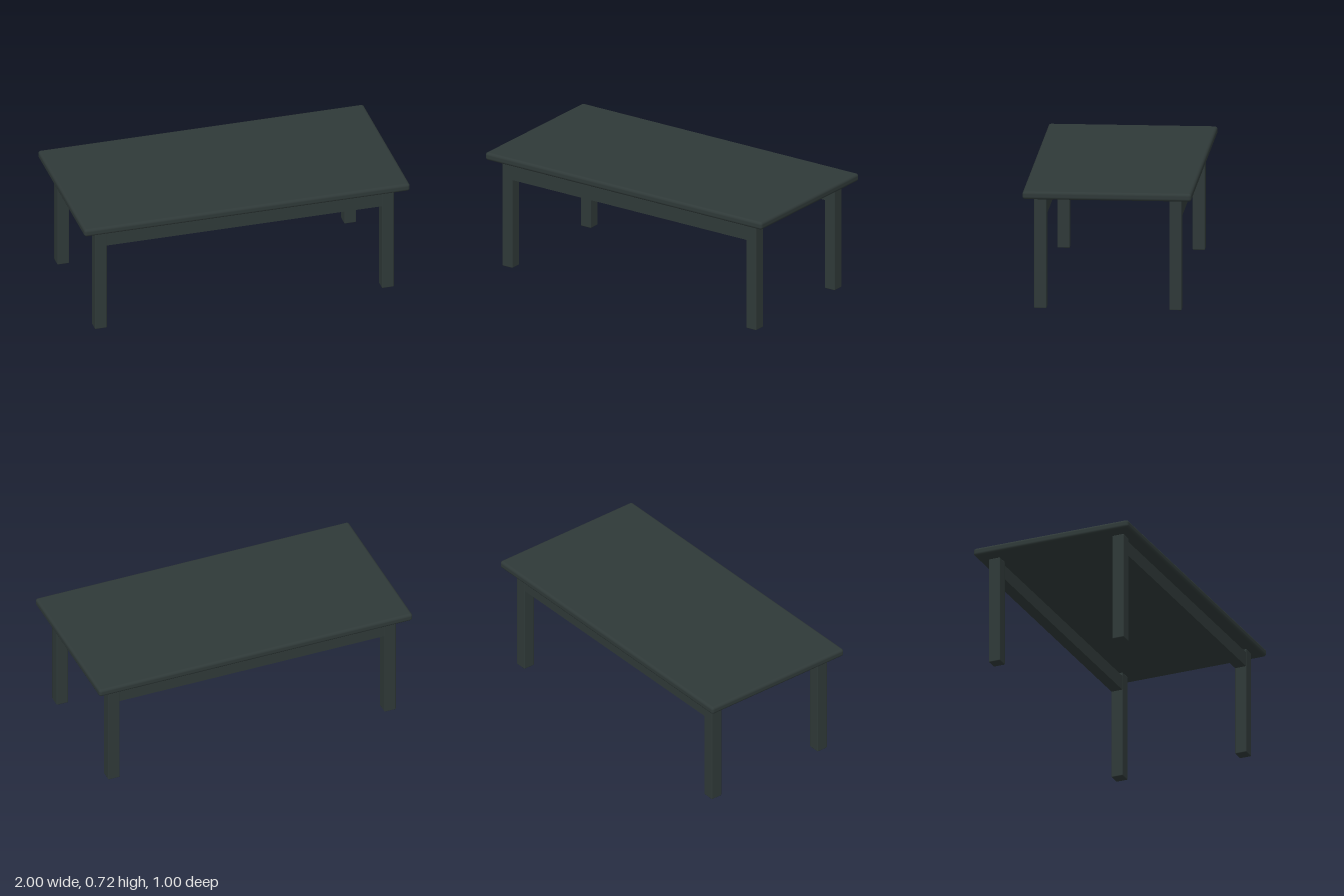
import * as THREE from 'three';
import { RoundedBoxGeometry } from 'three/addons/geometries/RoundedBoxGeometry.js';

export function createModel() {
  const table = new THREE.Group();
  table.name = 'table';
  const paint = new THREE.MeshStandardMaterial({ color: 0x2f3938 });
  paint.name = 'dark slate';

  const add = (name, geometry, x, y, z) => {
    const mesh = new THREE.Mesh(geometry, paint);
    mesh.name = name;
    mesh.position.set(x, y, z);
    table.add(mesh);
  };

  // Slab with softly rounded edges
  add('tableTop', new RoundedBoxGeometry(2, 0.048, 1, 3, 0.017), 0, 0.694, 0);

  // Square legs with a fine edge bevel, and a long rail between each pair
  const leg = new RoundedBoxGeometry(0.073, 0.67, 0.073, 2, 0.005);
  const rail = new THREE.BoxGeometry(1.692, 0.09, 0.07);
  for (const [sz, depth] of [[1, 'front'], [-1, 'back']]) {
    for (const [sx, side] of [[1, 'Left'], [-1, 'Right']]) {
      add(`${depth}${side}Leg`, leg, sx * 0.881, 0.335, sz * 0.4);
    }
    add(`${depth}Rail`, rail, 0, 0.602, sz * 0.4);
  }
  return table;
}
